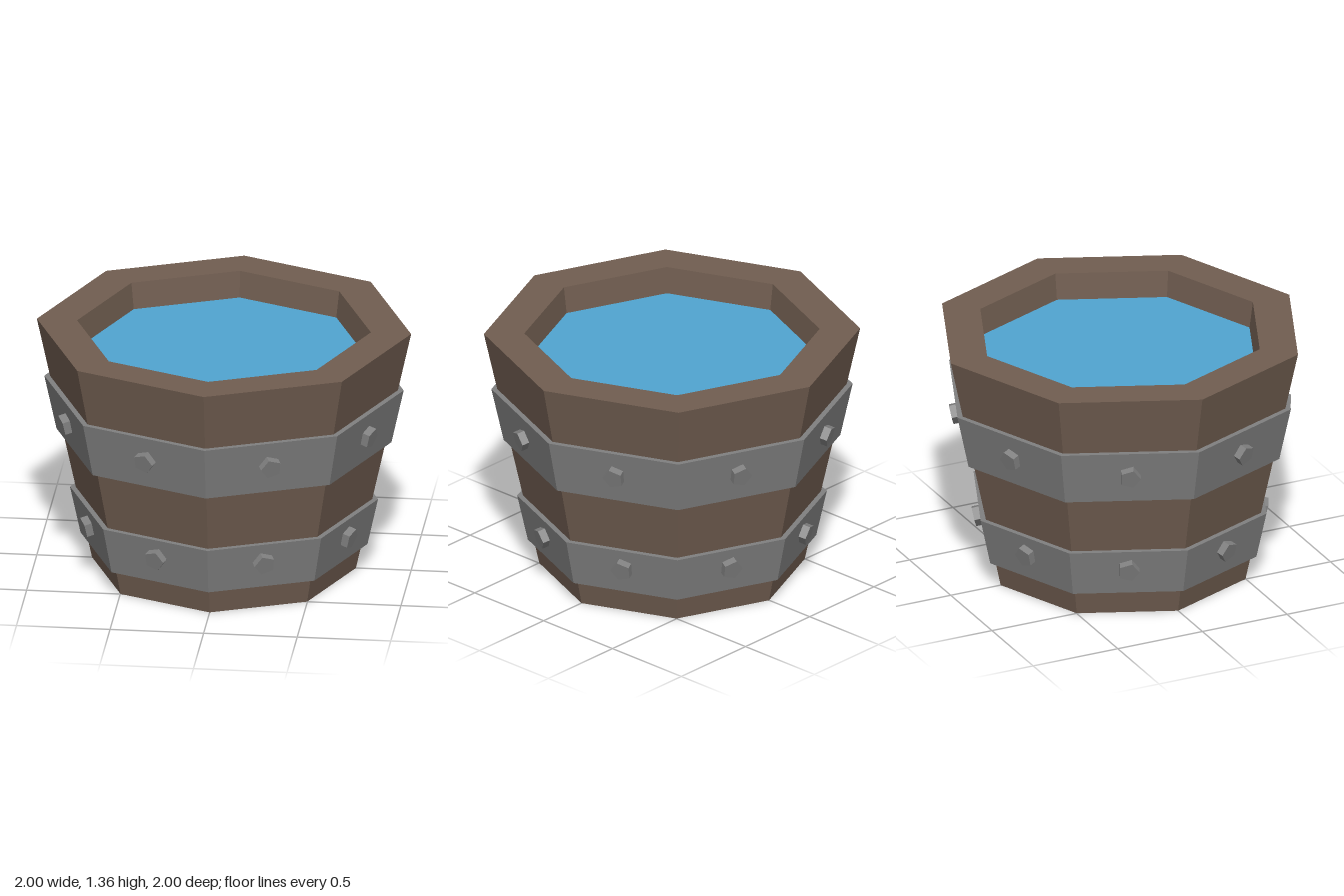
import * as THREE from 'three';

const SIDES = 8;
const HEIGHT = 1.355;
const BASE_R = 0.705;
const SLOPE = (1 - BASE_R) / HEIGHT;
const wallRadius = (y) => BASE_R + SLOPE * y;

const flat = (color) => new THREE.MeshStandardMaterial({ color, flatShading: true });

// Eight-sided turned part; profile points are [radius, y], running upwards on the outside
function turned(name, profile, material) {
  const points = profile.map(([r, y]) => new THREE.Vector2(r, y));
  const mesh = new THREE.Mesh(new THREE.LatheGeometry(points, SIDES), material);
  mesh.name = name;
  return mesh;
}

export function createModel() {
  const model = new THREE.Group();
  model.name = 'waterTub';
  const wood = flat(0x705d50);
  const iron = flat(0x808080);
  const water = flat(0x50a4d0);

  // Tapered wooden tub with a thick rim
  const waterY = 1.21;
  model.add(turned('tub', [
    [0, 0], [BASE_R, 0], [1, HEIGHT], [0.785, HEIGHT], [0.764, waterY - 0.01],
  ], wood));

  // Water surface
  model.add(turned('water', [[0.766, waterY], [0, waterY]], water));

  // Iron hoops, each with one bolt per side
  const boltGeometry = new THREE.CylinderGeometry(0.058, 0.058, 0.08, 5).rotateX(Math.PI / 2);
  const tilt = Math.atan(SLOPE / Math.cos(Math.PI / SIDES));
  const hoops = [
    { name: 'lowerHoop', bottom: 0.14, top: 0.4, boltY: 0.295 },
    { name: 'upperHoop', bottom: 0.73, top: 1.03, boltY: 0.895 },
  ];
  for (const { name, bottom, top, boltY } of hoops) {
    const hoop = new THREE.Group();
    hoop.name = name;
    const gap = 0.031;
    hoop.add(turned('band', [
      [wallRadius(bottom) - 0.01, bottom], [wallRadius(bottom) + gap, bottom],
      [wallRadius(top) + gap, top], [wallRadius(top) - 0.01, top],
    ], iron));

    const reach = (wallRadius(boltY) + gap) * Math.cos(Math.PI / SIDES);
    for (let i = 0; i < SIDES; i++) {
      const angle = ((i + 0.5) / SIDES) * Math.PI * 2;
      const bolt = new THREE.Mesh(boltGeometry, iron);
      bolt.name = 'bolt';
      bolt.position.set(Math.sin(angle) * reach, boltY, Math.cos(angle) * reach);
      // Lean with the band, and turn every other head
      bolt.rotation.set(tilt, angle, (i % 2 ? 1 : -1) * Math.PI / 2, 'YXZ');
      hoop.add(bolt);
    }
    model.add(hoop);
  }

  return model;
}
